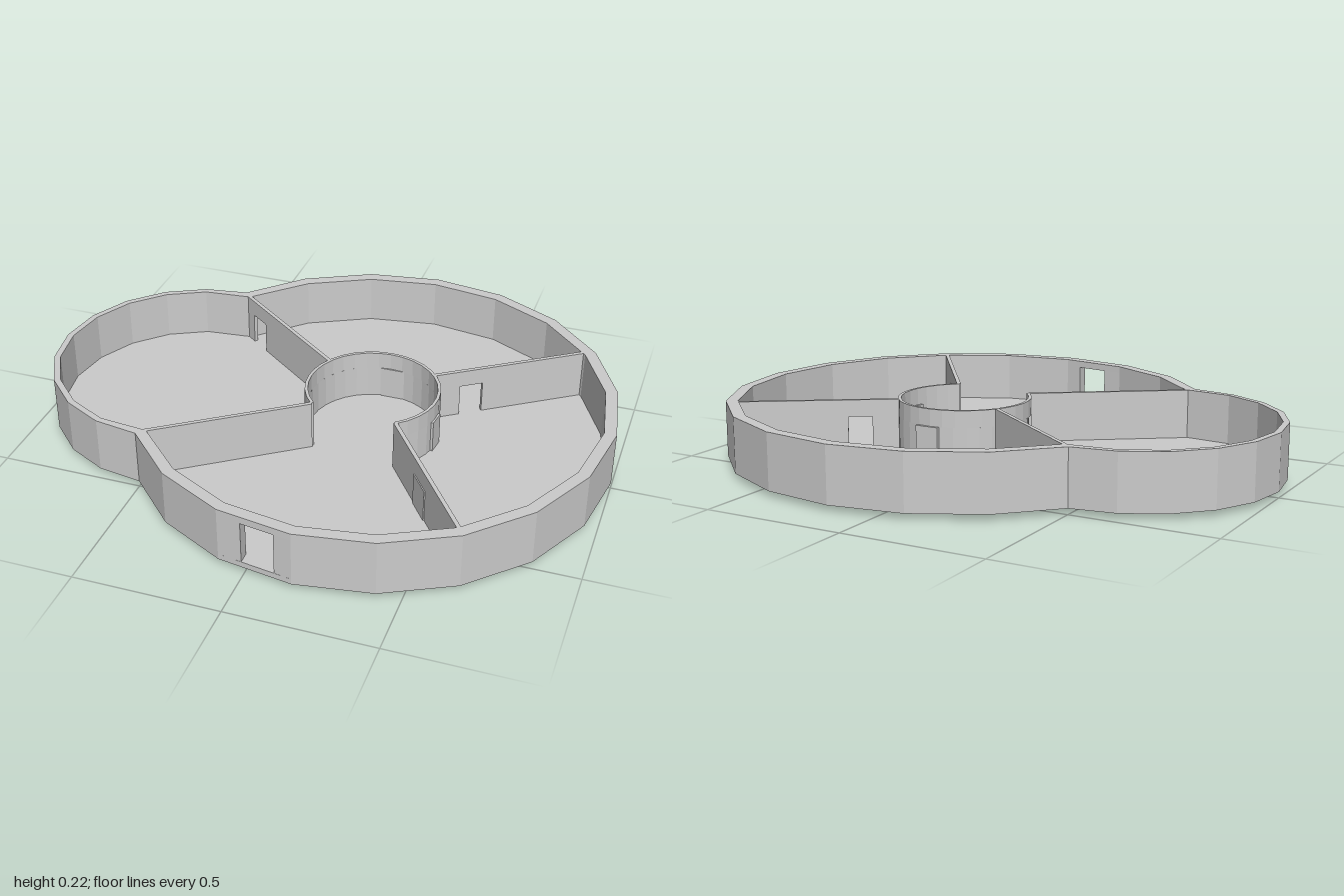
import * as THREE from 'three';

const FLOOR = 0.04, RIM = 0.215, DOOR = 0.155;
const RING = { x: 0.155, y: 0.02, r: 0.235 };
const rad = THREE.MathUtils.degToRad;

// Points on a circle in plan (plan y = -z), angles in degrees
function arc(cx, cy, r, from, to, steps) {
  return Array.from({ length: steps + 1 }, (_, i) => {
    const a = rad(from + (to - from) * i / steps);
    return new THREE.Vector2(cx + r * Math.cos(a), cy + r * Math.sin(a));
  });
}

// Two-lobed plan outline, starting just right of the front doorway
function outline(mainR, lobeR, cornerX, cornerY) {
  return [
    ...arc(0.165, 0, mainR, -90, 126, 12),
    new THREE.Vector2(cornerX, cornerY),
    ...arc(-0.5, 0, lobeR, 108, 252, 8),
    new THREE.Vector2(cornerX, -cornerY),
    ...arc(0.165, 0, mainR, 234, 252, 1),
  ];
}

export function createModel() {
  const group = new THREE.Group();
  const material = new THREE.MeshStandardMaterial({ color: 0xcccccc, flatShading: true });

  function add(name, geometry) {
    const mesh = new THREE.Mesh(geometry, material);
    mesh.name = name;
    group.add(mesh);
    return mesh;
  }

  // Raise a plan shape from y0 to y1
  function slab(name, shape, y0, y1) {
    const g = new THREE.ExtrudeGeometry(shape, { depth: y1 - y0, bevelEnabled: false });
    g.rotateX(-Math.PI / 2).translate(0, y0, 0);
    return add(name, g);
  }

  const outer = outline(0.835, 0.5, -0.5, 0.5);
  const inner = outline(0.793, 0.478, -0.475, 0.472);

  // Floor and the round foot beneath it
  slab('floor', new THREE.Shape(outer), 0.02, FLOOR);
  const foot = add('foot', new THREE.CylinderGeometry(RING.r, RING.r, 0.02, 32));
  foot.position.set(RING.x, 0.01, -RING.y);

  // Outer wall, open at the front doorway, closed above it
  const v = (x, y) => new THREE.Vector2(x, y);
  slab('outerWall', new THREE.Shape([
    v(0.105, -0.825), ...outer, v(-0.01, -0.807),
    v(-0.01, -0.765), ...inner.slice().reverse(), v(0.105, -0.783),
  ]), FLOOR, 0.19);
  const rim = new THREE.Shape(outer);
  rim.holes.push(new THREE.Path(inner));
  slab('outerWallRim', rim, 0.19, RIM);

  // Central ring, open at the front, with a doorway on the right-hand side
  function ringPart(name, from, to, y0, y1) {
    const steps = Math.max(2, Math.round((to - from) / 11));
    slab(name, new THREE.Shape([
      ...arc(RING.x, RING.y, RING.r, from, to, steps),
      ...arc(RING.x, RING.y, RING.r - 0.011, to, from, steps),
    ]), y0, y1);
  }
  ringPart('ringWall', -54, 188, FLOOR, DOOR);
  ringPart('ringWallEnd', 208, 224, FLOOR, DOOR);
  ringPart('ringWallTop', -54, 224, DOOR, RIM);

  // Straight partitions; door = distance of the doorway centre along the wall
  function partition(name, x0, z0, x1, z1, door) {
    const length = Math.hypot(x1 - x0, z1 - z0);
    const points = [v(0, FLOOR)];
    if (door) {
      points.push(v(door - 0.042, FLOOR), v(door - 0.042, DOOR),
        v(door + 0.042, DOOR), v(door + 0.042, FLOOR));
    }
    points.push(v(length, FLOOR), v(length, RIM), v(0, RIM));
    const g = new THREE.ExtrudeGeometry(new THREE.Shape(points), { depth: 0.014, bevelEnabled: false });
    const mesh = add(name, g.translate(0, 0, -0.007));
    mesh.position.set(x0, 0, z0);
    mesh.rotation.y = Math.atan2(z0 - z1, x1 - x0);
  }
  partition('backLeftPartition', 0.337, -0.165, 0.805, -0.486, 0.135);
  partition('backRightPartition', -0.045, -0.14, -0.482, -0.48, 0.465);
  partition('frontRightPartition', -0.012, 0.142, -0.482, 0.475);
  partition('frontLeftPartition', 0.292, 0.165, 0.637, 0.645);

  // Closed door panels standing slightly proud of the thin walls
  function panel(name, x, z, width, angle) {
    const mesh = add(name, new THREE.BoxGeometry(width, DOOR - FLOOR, 0.026));
    mesh.position.set(x, (DOOR + FLOOR) / 2, z);
    mesh.rotation.y = angle;
  }
  panel('ringBackDoor', 0.162, -0.251, 0.085, 0);
  panel('ringLeftDoor', 0.381, 0.008, 0.062, rad(83));
  panel('partitionDoor', 0.447, 0.377, 0.1, Math.atan2(-0.48, 0.345));

  return group;
}
